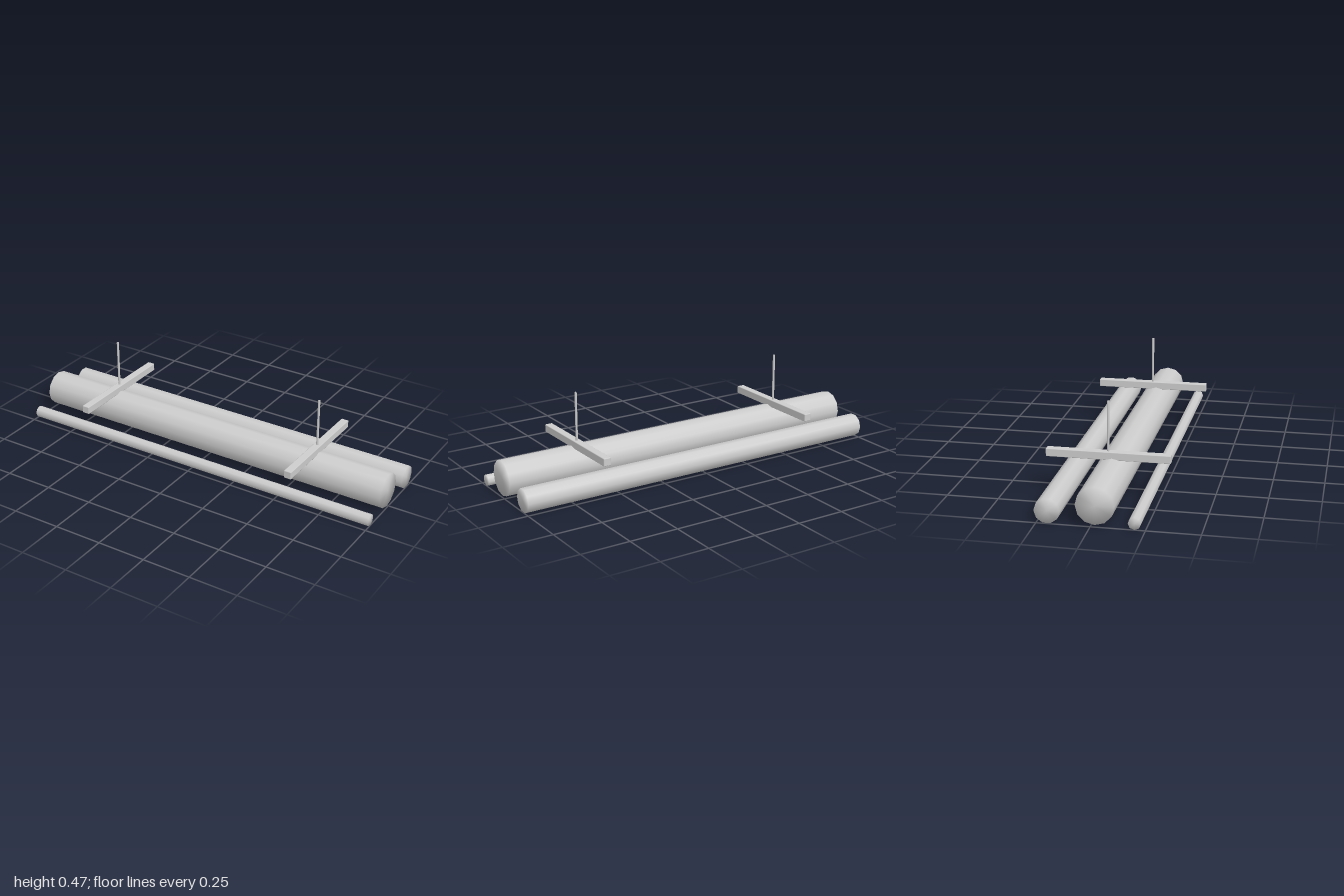
import * as THREE from 'three';
import { RoundedBoxGeometry } from 'three/addons/geometries/RoundedBoxGeometry.js';

// Closed cylinder along y whose normals run smoothly over the end rims
function smoothRod(radius, length, sides) {
  const h = length / 2;
  const profile = [[0, -h], [radius, -h], [radius, h], [0, h]];
  return new THREE.LatheGeometry(profile.map(([x, y]) => new THREE.Vector2(x, y)), sides);
}

export function createModel() {
  const model = new THREE.Group();
  model.name = 'hangingPipes';

  const grey = new THREE.MeshStandardMaterial({ color: 0xcccccc });
  grey.name = 'pale grey';

  const add = (name, geometry, x, y, z) => {
    const mesh = new THREE.Mesh(geometry, grey);
    mesh.name = name;
    mesh.position.set(x, y, z);
    model.add(mesh);
  };

  // Three parallel pipes running the full width
  const pipes = [
    ['largePipe', 0.09, 12, 0.1, 0.02],
    ['mediumPipe', 0.06, 10, 0.06, -0.2],
    ['smallPipe', 0.03, 8, 0.03, 0.2],
  ];
  for (const [name, radius, sides, y, z] of pipes) {
    add(name, smoothRod(radius, 2, sides).rotateZ(-Math.PI / 2), 0, y, z);
  }

  // Crossbars with chamfered edges, each hung from a thin rod
  for (const [side, x] of [['left', 0.6], ['right', -0.6]]) {
    add(side + 'Crossbar', new RoundedBoxGeometry(0.04, 0.04, 0.6, 1, 0.004), x, 0.2, 0);
    add(side + 'HangerRod', smoothRod(0.006, 0.25, 8), x, 0.342, 0);
  }

  return model;
}
